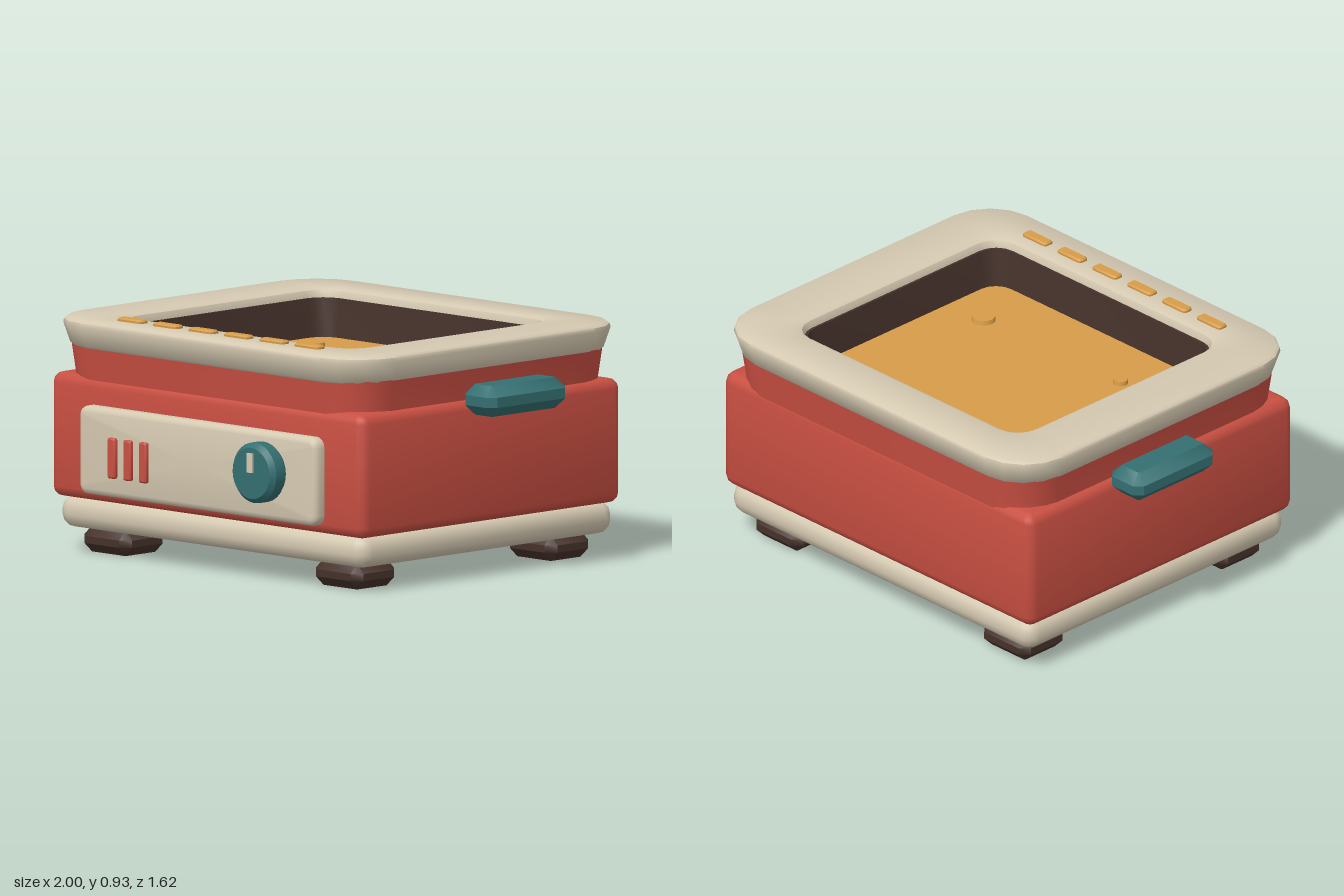
import * as THREE from 'three';
import { toCreasedNormals } from 'three/addons/utils/BufferGeometryUtils.js';

const paint = (name, color) => {
  const m = new THREE.MeshStandardMaterial({ color });
  m.name = name;
  return m;
};

// Outline of a rounded rectangle in the xz plane
function outline([hw, hd, r, y], n) {
  const pts = [];
  [[1, 1], [-1, 1], [-1, -1], [1, -1]].forEach(([sx, sz], q) => {
    for (let i = 0; i <= n; i++) {
      const a = (q + i / n) * Math.PI / 2;
      pts.push([sx * (hw - r) + r * Math.cos(a), y, sz * (hd - r) + r * Math.sin(a)]);
    }
  });
  return pts;
}

// Skin over rings [halfWidth, halfDepth, cornerRadius, y]; mode: 'caps', 'loop' or 'open'
function loft(rings, n = 4, mode = 'caps', crease = 0.7) {
  const loops = rings.map(r => outline(r, n));
  const pos = [], count = loops[0].length;
  const tri = (...p) => p.forEach(v => pos.push(...v));
  const bands = mode === 'loop' ? loops.length : loops.length - 1;
  for (let i = 0; i < bands; i++) {
    const lo = loops[i], hi = loops[(i + 1) % loops.length];
    for (let j = 0; j < count; j++) {
      const k = (j + 1) % count;
      tri(lo[j], hi[j], hi[k]);
      tri(lo[j], hi[k], lo[k]);
    }
  }
  if (mode === 'caps') {
    const lo = loops[0], hi = loops[loops.length - 1];
    for (let j = 0; j < count; j++) {
      const k = (j + 1) % count;
      tri([0, lo[0][1], 0], lo[j], lo[k]);
      tri([0, hi[0][1], 0], hi[k], hi[j]);
    }
  }
  const g = new THREE.BufferGeometry();
  g.setAttribute('position', new THREE.Float32BufferAttribute(pos, 3));
  return toCreasedNormals(g, crease);
}

// Block centred on the origin with bevelled top and bottom edges
function block(w, h, d, r, bevel, steps = 3, n = 4) {
  const rings = [];
  for (const s of [-1, 1]) {
    for (let i = 0; i <= steps; i++) {
      const a = (s < 0 ? steps - i : i) / steps * Math.PI / 2;
      const inset = bevel * (1 - Math.cos(a));
      rings.push([w / 2 - inset, d / 2 - inset, Math.max(r - inset, 0.004), s * (h / 2 - bevel + bevel * Math.sin(a))]);
    }
  }
  return loft(rings, n);
}

export function createModel() {
  const red = paint('red enamel', 0xc94f42);
  const cream = paint('cream', 0xd6cab2);
  const amber = paint('amber', 0xd69c49);
  const teal = paint('teal', 0x347072);
  const brown = paint('dark brown', 0x46322b);

  const model = new THREE.Group();
  model.name = 'tabletopCooker';
  const add = (name, geo, mat, x, y, z) => {
    const m = new THREE.Mesh(geo, mat);
    m.name = name;
    m.position.set(x, y, z);
    model.add(m);
    return m;
  };
  const cz = -0.055;

  // Housing
  add('base', block(1.66, 0.125, 1.395, 0.06, 0.05), cream, 0, 0.157, -0.0525);
  add('body', block(1.7, 0.485, 1.43, 0.045, 0.04), red, 0, 0.4575, -0.05);
  add('neck', loft([[0.81, 0.7, 0.17, 0.6], [0.82, 0.71, 0.18, 0.7], [0.838, 0.723, 0.19, 0.82]], 5, 'open'),
    red, 0, 0, cz);

  // Rim, a closed profile swept around the opening
  add('rim', loft([
    [0.828, 0.723, 0.19, 0.81], [0.838, 0.733, 0.2, 0.818], [0.86, 0.755, 0.21, 0.895],
    [0.857, 0.752, 0.207, 0.91], [0.845, 0.74, 0.2, 0.92],
    [0.642, 0.572, 0.11, 0.92], [0.624, 0.554, 0.1, 0.912], [0.614, 0.544, 0.09, 0.89], [0.614, 0.544, 0.09, 0.81],
  ], 4, 'loop'), cream, 0, 0, cz);

  // Cooking well and its filling
  add('well', loft([
    [0.625, 0.555, 0.1, 0.71], [0.625, 0.555, 0.1, 0.885],
    [0.605, 0.535, 0.09, 0.885], [0.585, 0.515, 0.08, 0.71],
  ], 4, 'loop'), brown, 0, 0, cz);
  add('filling', block(1.19, 0.03, 1.05, 0.09, 0.005, 1), amber, 0, 0.72, cz);
  for (const [x, z, r] of [[-0.41, -0.35, 0.04], [0.32, -0.45, 0.028], [-0.34, 0.225, 0.03], [0.4, 0.21, 0.048]])
    add('bubble', new THREE.CylinderGeometry(r * 0.92, r, 0.02, 20), amber, x, 0.742, z);

  // Row of inlays on the front of the rim
  for (let i = 0; i < 6; i++)
    add('rimInlay', block(0.13, 0.025, 0.046, 0.012, 0.006, 1, 2), amber, -0.483 + i * 0.192, 0.921, 0.577);

  // Handles and feet
  for (const s of [-1, 1]) {
    add(s > 0 ? 'leftHandle' : 'rightHandle', block(0.175, 0.12, 0.43, 0.03, 0.04, 1, 1), teal, s * 0.9125, 0.705, -0.11);
    for (const z of [0.48, -0.5825])
      add('foot', block(0.258, 0.1, 0.238, 0.035, 0.036, 1, 1), brown, s * 0.628, 0.05, z);
  }

  // Control panel with vent bars and dial
  const facing = (name, geo, mat, x, y, z) => { add(name, geo, mat, x, y, z).rotation.x = Math.PI / 2; };
  facing('controlPanel', block(1.29, 0.075, 0.345, 0.04, 0.025), cream, 0, 0.422, 0.678);
  for (const x of [-0.45, -0.365, -0.28])
    facing('ventBar', block(0.042, 0.03, 0.158, 0.008, 0.006, 1, 2), red, x, 0.407, 0.717);
  const dial = [[0, -0.045], [0.105, -0.045], [0.118, -0.028], [0.118, 0.02], [0.1, 0.04], [0, 0.04]];
  facing('dial', toCreasedNormals(new THREE.LatheGeometry(dial.map(p => new THREE.Vector2(...p)), 28), 0.6),
    teal, 0.38, 0.442, 0.76);
  add('dialPointer', new THREE.BoxGeometry(0.028, 0.075, 0.03), cream, 0.38, 0.483, 0.795);

  return model;
}
